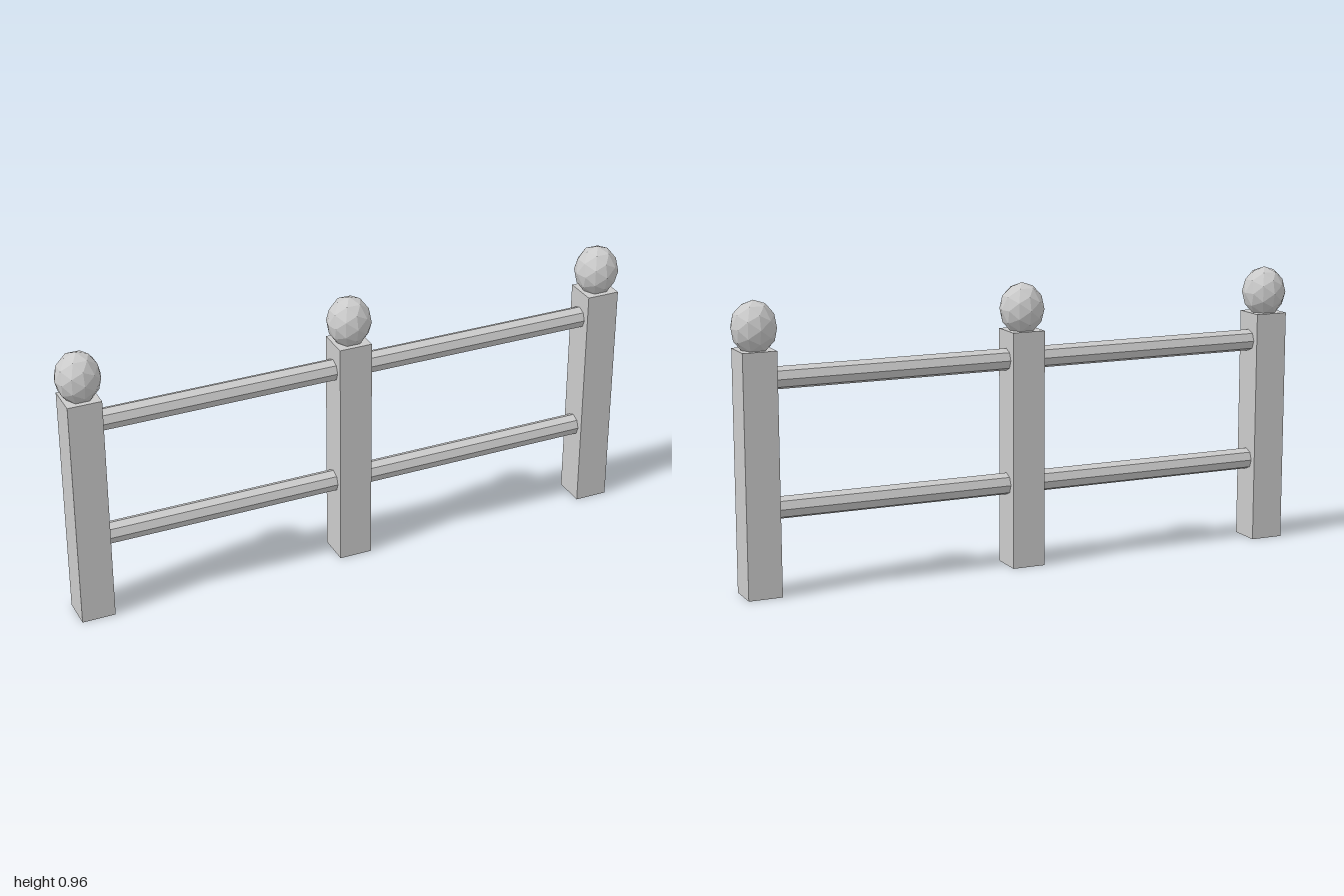
import * as THREE from 'three';

const POST_X = [-0.925, 0, 0.925];
const POST_W = 0.114;
const POST_H = 0.8;
const RAIL_Y = [0.282, 0.704];

export function createModel() {
  const group = new THREE.Group();
  const material = new THREE.MeshStandardMaterial({ color: 0xcccccc, flatShading: true });

  const add = (name, geometry, x, y) => {
    const mesh = new THREE.Mesh(geometry, material);
    mesh.name = name;
    mesh.position.set(x, y, 0);
    group.add(mesh);
  };

  // Square posts, each topped with a slightly tall faceted ball
  const post = new THREE.BoxGeometry(POST_W, POST_H, POST_W);
  const finial = new THREE.IcosahedronGeometry(0.075, 1).scale(1, 1.17, 1);
  for (const x of POST_X) {
    add('post', post, x, POST_H / 2);
    add('finial', finial, x, 0.87);
  }

  // Octagonal rails spanning each gap between post faces
  const span = POST_X[2] - POST_W;
  const rail = new THREE.CylinderGeometry(0.037, 0.037, span + 0.02, 8).rotateZ(Math.PI / 2);
  for (const y of RAIL_Y) {
    for (const side of [-1, 1]) add('rail', rail, side * POST_X[2] / 2, y);
  }

  return group;
}
